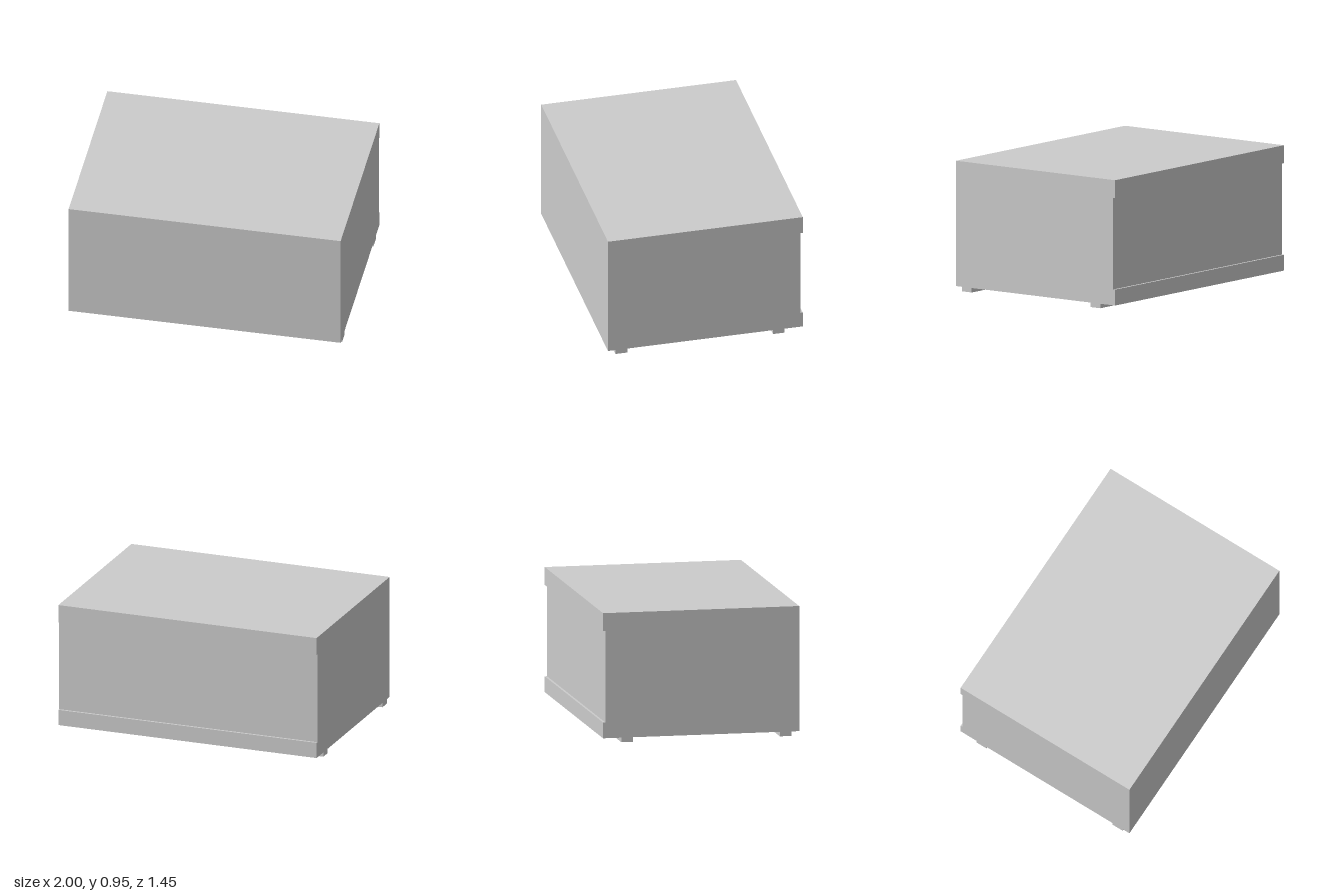
import * as THREE from 'three';

const WIDTH = 2, HALF_DEPTH = 0.724, BASE = 0.033, TOP = 0.949;

export function createModel() {
  const model = new THREE.Group();
  const material = new THREE.MeshStandardMaterial({ color: 0xcccccc });

  // Case: side outline in (z, y) with a shallow recess in the back, swept across the width
  const recessZ = -HALF_DEPTH + 0.017;
  const outline = new THREE.Shape([
    [HALF_DEPTH, BASE], [HALF_DEPTH, TOP], [-HALF_DEPTH, TOP], [-HALF_DEPTH, 0.818],
    [recessZ, 0.818], [recessZ, 0.149], [-HALF_DEPTH, 0.149], [-HALF_DEPTH, BASE],
  ].map(([z, y]) => new THREE.Vector2(z, y)));
  const caseGeometry = new THREE.ExtrudeGeometry(outline, { depth: WIDTH, bevelEnabled: false });
  caseGeometry.translate(0, 0, -WIDTH / 2).rotateY(-Math.PI / 2);
  const body = new THREE.Mesh(caseGeometry, material);
  body.name = 'case';
  model.add(body);

  // Two full-width rails the case stands on
  for (const [name, z] of [['frontRail', 0.624], ['backRail', -0.546]]) {
    const rail = new THREE.Mesh(new THREE.BoxGeometry(WIDTH, BASE, 0.087), material);
    rail.name = name;
    rail.position.set(0, BASE / 2, z);
    model.add(rail);
  }

  return model;
}
